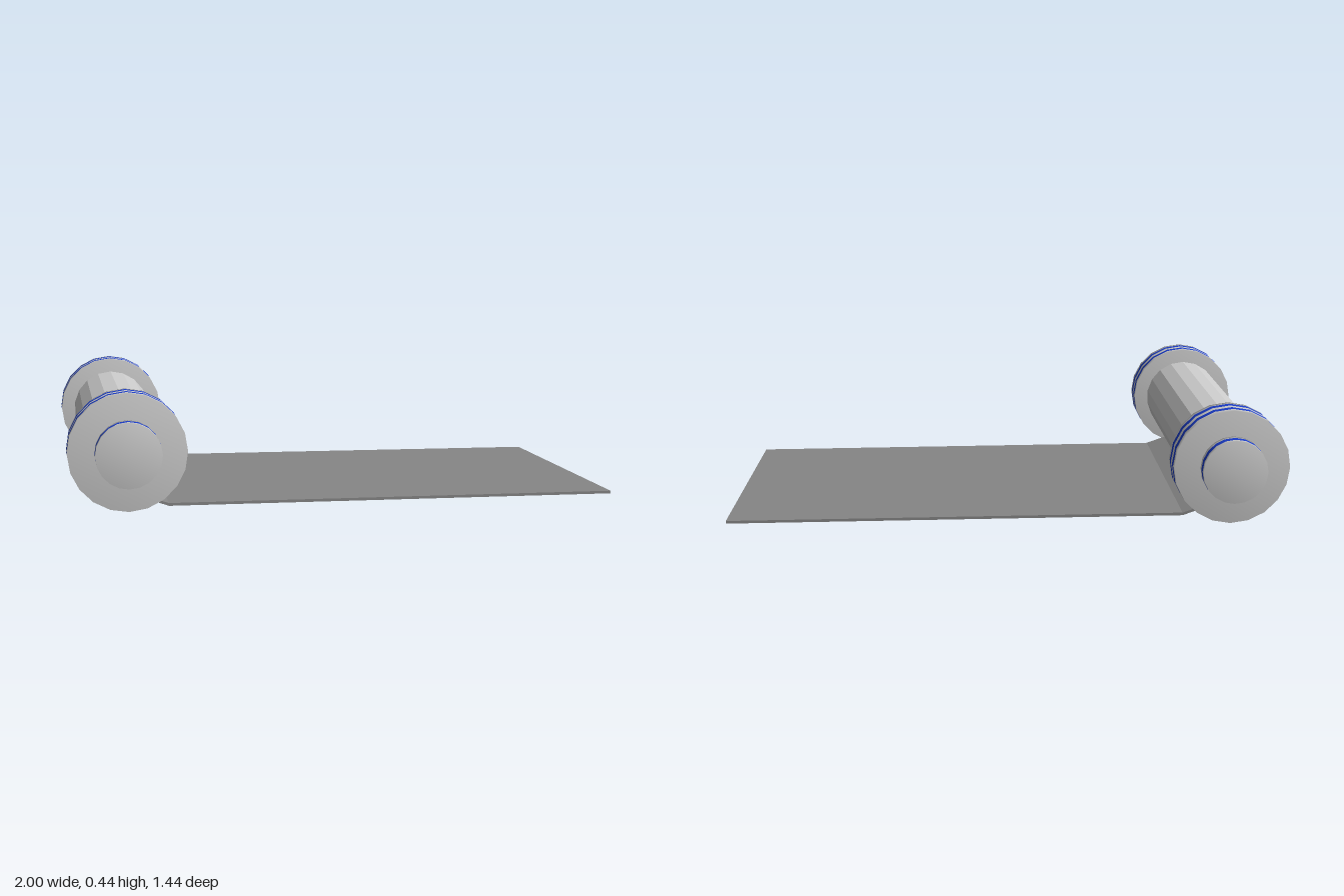
import * as THREE from 'three';

const AXIS_X = -0.797, AXIS_Y = 0.236, SIDES = 20;

export function createModel() {
  const model = new THREE.Group();
  model.name = 'roller';
  const grey = new THREE.MeshStandardMaterial({ color: 0xcccccc });
  const flatGrey = new THREE.MeshStandardMaterial({ color: 0xcccccc, flatShading: true });
  const blue = new THREE.MeshStandardMaterial({ color: 0x1a3cc8 });
  const dark = new THREE.MeshStandardMaterial({ color: 0x868686, flatShading: true });

  const add = (parent, name, geometry, material) => {
    const mesh = new THREE.Mesh(geometry, material);
    mesh.name = name;
    parent.add(mesh);
    return mesh;
  };

  // Solid disc along z with softly shaded rims, and painted bands around it
  const bandedDisc = (parent, name, radius, z0, z1, bands) => {
    const profile = [[0, z0], [radius, z0]];
    bands.forEach(([a, b]) => profile.push([radius, a], [radius, b]));
    profile.push([radius, z1], [0, z1]);
    const lathe = (pts) => new THREE.LatheGeometry(pts.map(([r, z]) => new THREE.Vector2(r, z)), SIDES)
      .rotateX(Math.PI / 2);
    add(parent, name, lathe(profile), grey);
    bands.forEach(([a, b]) =>
      add(parent, name + 'Stripe', lathe([[radius + 0.001, a], [radius + 0.001, b]]), blue));
  };

  // Faceted drum
  const drum = new THREE.CylinderGeometry(0.151, 0.151, 1.04, 18).rotateX(Math.PI / 2);
  add(model, 'drum', drum, flatGrey).position.set(AXIS_X, AXIS_Y, 0);

  // Flange and hub cap at each end
  [1, -1].forEach((side) => {
    const end = new THREE.Group();
    end.name = side > 0 ? 'frontEnd' : 'backEnd';
    end.position.set(AXIS_X, AXIS_Y, 0);
    if (side < 0) end.rotation.y = Math.PI;
    bandedDisc(end, 'flange', 0.203, 0.516, 0.652, [[0.542, 0.57], [0.597, 0.625]]);
    bandedDisc(end, 'hubCap', 0.112, 0.65, 0.721, [[0.676, 0.703]]);
    model.add(end);
  });

  // Thin sheet leaving the underside of the drum and running out flat
  const path = [[-0.8, 0.081], [-0.72, 0.05], [-0.65, 0.025], [1, 0.005]];
  const t = 0.005;
  const outline = [
    ...path.map(([x, y]) => new THREE.Vector2(x, y - t)),
    ...path.slice().reverse().map(([x, y]) => new THREE.Vector2(x, y + t)),
  ];
  const sheet = new THREE.ExtrudeGeometry(new THREE.Shape(outline), { depth: 1.028, bevelEnabled: false });
  add(model, 'sheet', sheet.translate(0, 0, -0.514), dark);

  return model;
}
